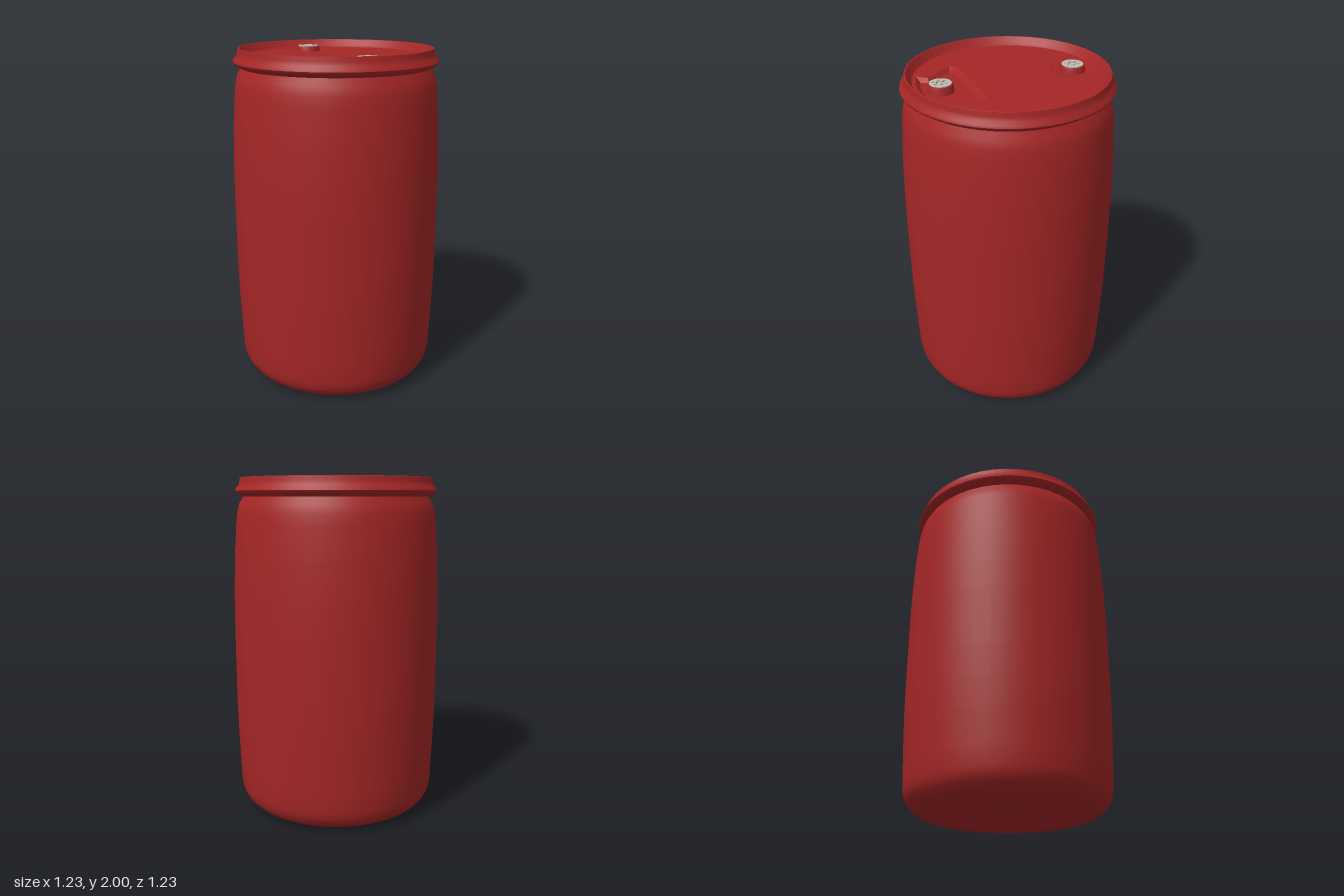
import * as THREE from 'three';
import { toCreasedNormals, mergeGeometries } from 'three/addons/utils/BufferGeometryUtils.js';

const SEG = 48;
const LID_Y = 1.953;
const LID_R = 0.525;

const red = new THREE.MeshStandardMaterial({ color: 0xa52626 });
red.name = 'red plastic';
const white = new THREE.MeshStandardMaterial({ color: 0xbdbdb2 });
white.name = 'pale grey plastic';

const v2 = (list) => list.map(([x, y]) => new THREE.Vector2(x, y));

function addMesh(parent, name, geometry, material) {
  const mesh = new THREE.Mesh(geometry, material);
  mesh.name = name;
  parent.add(mesh);
  return mesh;
}

const lathe = (points, segments = SEG, crease = 0.6) =>
  toCreasedNormals(new THREE.LatheGeometry(v2(points), segments), crease);

const circle = (r, cy, n) => Array.from({ length: n }, (_, i) => {
  const a = (i / n) * Math.PI * 2;
  return new THREE.Vector2(Math.cos(a) * r, cy + Math.sin(a) * r);
});

// Half outline of [x, z], front centre to back centre, mirrored into a closed loop
function mirrored(half) {
  const other = half.slice(1, -1).reverse().map(([x, z]) => [-x, z]);
  return v2([...half, ...other].map(([x, z]) => [x, -z]));
}

// Sloping wall between two loops plus a flat floor
function recess(outer, inner, depth) {
  const pos = [];
  outer.forEach((o, i) => {
    const j = (i + 1) % outer.length;
    const a = [o.x, o.y, 0], b = [outer[j].x, outer[j].y, 0];
    const c = [inner[j].x, inner[j].y, -depth], d = [inner[i].x, inner[i].y, -depth];
    pos.push(...a, ...b, ...c, ...a, ...c, ...d);
  });
  const wall = new THREE.BufferGeometry();
  wall.setAttribute('position', new THREE.Float32BufferAttribute(pos, 3));
  wall.computeVertexNormals();
  const floor = new THREE.ShapeGeometry(new THREE.Shape(inner)).toNonIndexed();
  floor.deleteAttribute('uv');
  floor.translate(0, 0, -depth);
  return toCreasedNormals(mergeGeometries([wall, floor]), 0.4).rotateX(-Math.PI / 2);
}

// Threaded plug with a cog-shaped socket in its cap
function makeBung(name, z) {
  const bung = new THREE.Group();
  bung.name = name;
  bung.position.set(0, 1.92, z);
  addMesh(bung, 'bungCollar', lathe([
    [0.074, 0], [0.07, 0.045], [0.066, 0.055], [0.06, 0.055], [0.06, 0.045],
  ], 24), red);
  addMesh(bung, 'capFloor', new THREE.CylinderGeometry(0.06, 0.06, 0.05, 24).translate(0, 0.025, 0), white);

  const plate = new THREE.Shape(circle(0.061, 0, 24));
  const cog = [];
  for (let i = 0; i < 6; i++) {
    for (const [r, da] of [[0.025, -0.5], [0.025, -0.25], [0.044, -0.22], [0.044, 0.22], [0.025, 0.25]]) {
      const a = (i * Math.PI) / 3 + da;
      cog.push(new THREE.Vector2(Math.cos(a) * r, Math.sin(a) * r));
    }
  }
  plate.holes.push(new THREE.Path(cog));
  const cap = new THREE.ExtrudeGeometry(plate, { depth: 0.01, bevelEnabled: false });
  addMesh(bung, 'cap', cap.rotateX(-Math.PI / 2).translate(0, 0.05, 0), white);
  addMesh(bung, 'capHub', new THREE.CylinderGeometry(0.013, 0.013, 0.008, 6).translate(0, 0.054, 0), white);
  return bung;
}

export function createModel() {
  const drum = new THREE.Group();
  drum.name = 'drum';

  // Barrel with a dished base
  addMesh(drum, 'barrel', lathe([
    [0, 0.045], [0.33, 0.045], [0.375, 0.02], [0.41, 0.004], [0.45, 0.003],
    [0.5, 0.013], [0.54, 0.035], [0.57, 0.065], [0.588, 0.1], [0.597, 0.14],
    [0.602, 0.25], [0.61, 0.45], [0.615, 0.62], [0.616, 0.8], [0.616, 1.15],
    [0.614, 1.32], [0.606, 1.55], [0.592, 1.74], [0.585, 1.8], [0.573, 1.85],
    [0.552, 1.885], [0.548, 1.9],
  ]), red);

  // Overhanging top rim
  addMesh(drum, 'rim', lathe([
    [0.546, 1.89], [0.556, 1.893], [0.59, 1.915], [0.595, 1.925], [0.59, 1.938],
    [0.573, 1.955], [0.569, 1.975], [0.565, 1.998], [0.562, 2.0], [0.556, 2.0],
    [0.551, 1.995], [0.538, 1.965], [LID_R, LID_Y],
  ]), red);

  // Lid with its two recesses
  const fan = mirrored([[0, 0.505], [0.1, 0.495], [0.2, 0.465], [0.155, 0.41], [0.28, 0.25], [0.25, 0.205], [0, 0.192]]);
  const fanFloor = mirrored([[0, 0.48], [0.09, 0.472], [0.155, 0.452], [0.13, 0.41], [0.24, 0.26], [0.22, 0.243], [0, 0.235]]);
  const dish = circle(0.13, 0.385, 24);
  const dishFloor = circle(0.09, 0.39, 24);
  const lid = new THREE.Shape(circle(LID_R, 0, SEG));
  lid.holes.push(new THREE.Path(fan), new THREE.Path(dish));
  const lidGeometry = new THREE.ShapeGeometry(lid).rotateX(-Math.PI / 2);
  addMesh(drum, 'lid', lidGeometry, red).position.y = LID_Y;
  addMesh(drum, 'frontRecess', recess(fan, fanFloor, 0.022), red).position.y = LID_Y;
  addMesh(drum, 'backRecess', recess(dish, dishFloor, 0.014), red).position.y = LID_Y;

  drum.add(makeBung('frontBung', 0.385), makeBung('backBung', -0.39));
  return drum;
}
